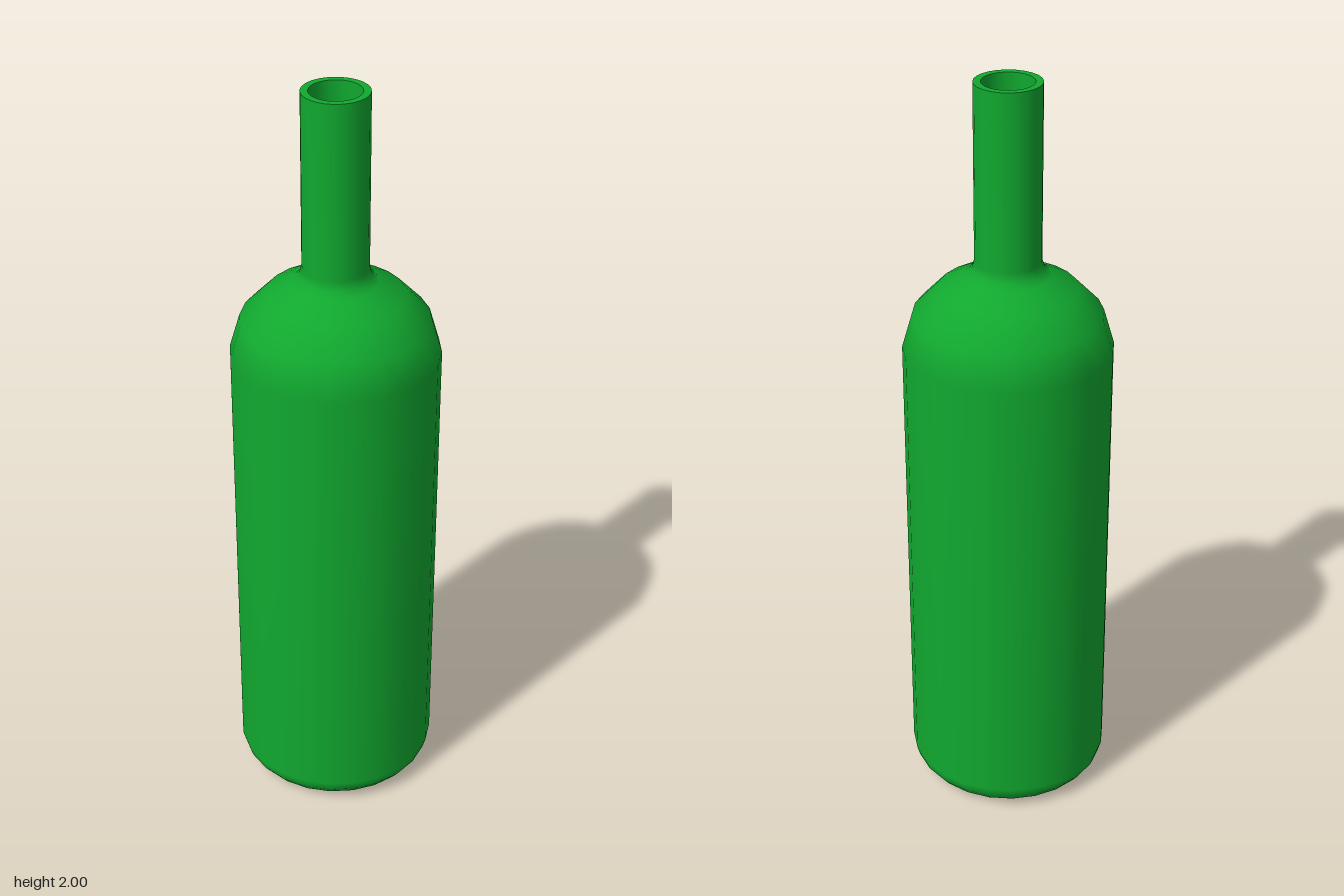
import * as THREE from 'three';

const SIDES = 24;

export function createModel() {
  const bottle = new THREE.Group();
  bottle.name = 'bottle';
  const glass = new THREE.MeshStandardMaterial({ color: 0x11a82f });

  // Each profile is a list of [radius, height] turned about the y axis
  const turn = (name, profile) => {
    const points = profile.map(([r, y]) => new THREE.Vector2(r, y));
    const mesh = new THREE.Mesh(new THREE.LatheGeometry(points, SIDES), glass);
    mesh.name = name;
    bottle.add(mesh);
  };

  // Flat base, rounded foot, straight body, shoulder and neck
  turn('outerWall', [
    [0, 0], [0.19, 0], [0.215, 0.006], [0.245, 0.02], [0.262, 0.042], [0.27, 0.07],
    [0.27, 1.305], [0.243, 1.397], [0.178, 1.465], [0.108, 1.502],
    [0.092, 1.518], [0.085, 1.54], [0.085, 2],
  ]);

  // Flat ring around the mouth
  turn('rim', [[0.085, 2], [0.066, 2]]);

  // Hollow inside, running from the mouth down to the floor
  turn('innerWall', [
    [0.066, 2], [0.066, 1.53], [0.09, 1.49], [0.165, 1.447], [0.225, 1.387],
    [0.25, 1.3], [0.25, 0.07], [0.23, 0.035], [0.19, 0.02], [0, 0.02],
  ]);

  return bottle;
}
